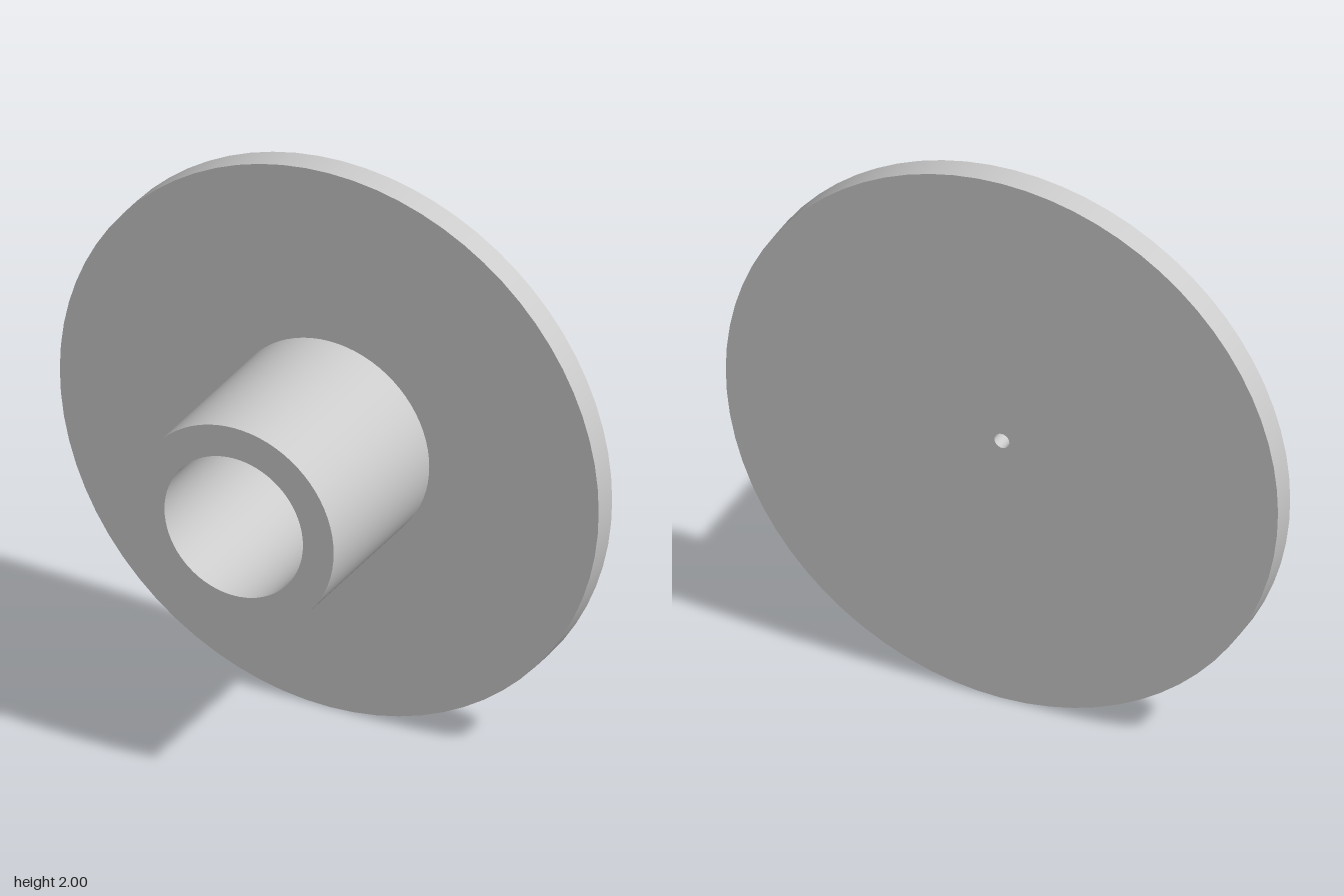
import * as THREE from 'three';
import { mergeGeometries } from 'three/addons/utils/BufferGeometryUtils.js';

const material = new THREE.MeshStandardMaterial({ color: 0xcccccc });

// Turned part about z: each [radius, z] profile edge is its own band, so corners stay sharp.
function turned(name, profile) {
  const bands = [];
  for (let i = 0; i < profile.length - 1; i++) {
    const pair = [profile[i], profile[i + 1]].map(([r, z]) => new THREE.Vector2(r, z));
    bands.push(new THREE.LatheGeometry(pair, 72));
  }
  const geometry = mergeGeometries(bands);
  geometry.rotateX(Math.PI / 2);
  const mesh = new THREE.Mesh(geometry, material);
  mesh.name = name;
  return mesh;
}

export function createModel() {
  const group = new THREE.Group();
  group.name = 'flangedHub';

  const back = -0.375, face = -0.283, front = 0.372;
  const hole = 0.027, bore = 0.257, hub = 0.371;

  // Flange disc with a small centre hole
  group.add(turned('flange', [[hole, back], [1, back], [1, face], [hole, face], [hole, back]]));

  // Hollow hub, open at the front, with its bore ending on the disc
  group.add(turned('hub', [[hub, face], [hub, front], [bore, front], [bore, face]]));

  group.position.y = 1;
  return group;
}
